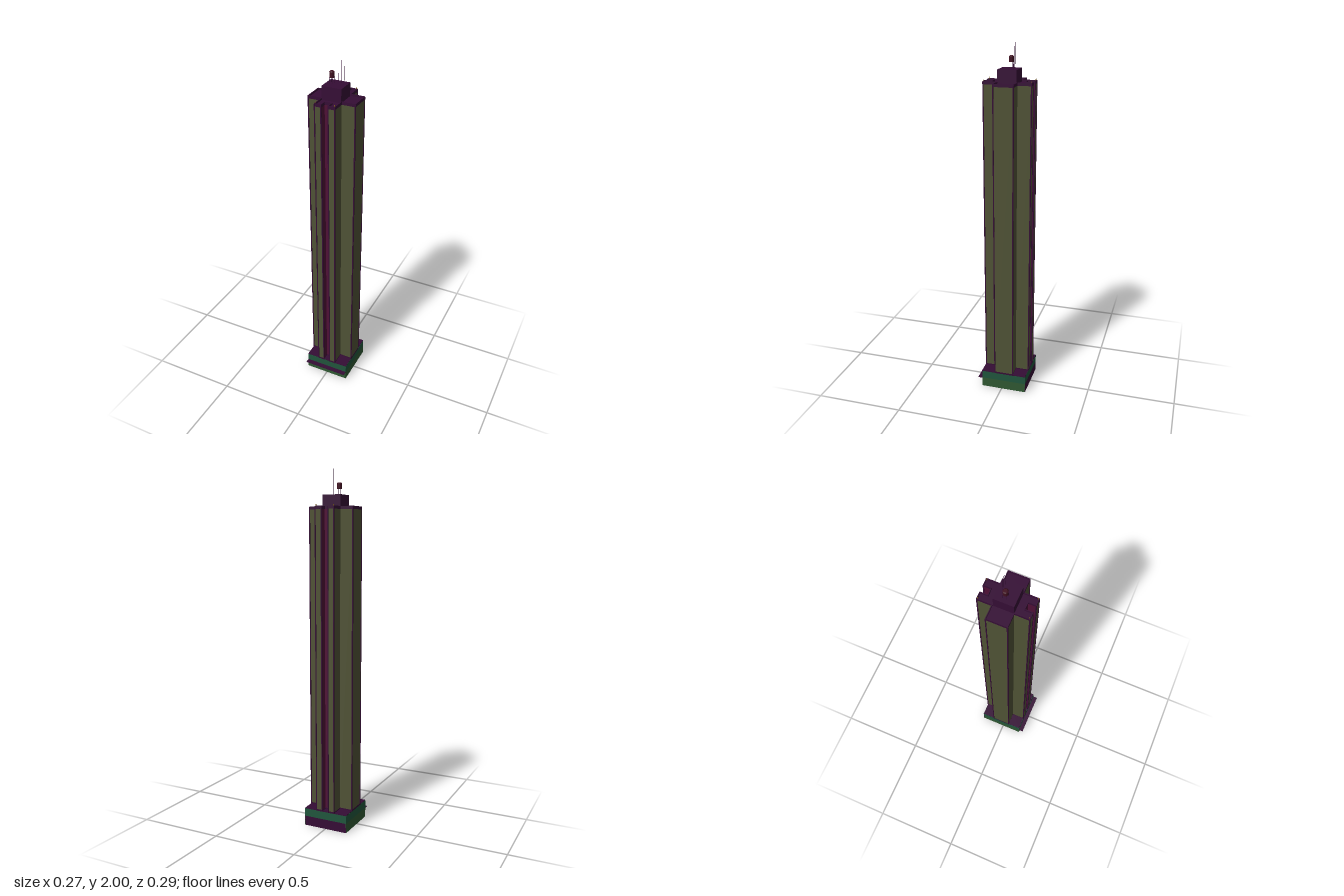
import * as THREE from 'three';

const material = (color) => new THREE.MeshStandardMaterial({ color, flatShading: true, side: THREE.DoubleSide });
const olive = material(0x4f5235);
const purple = material(0x350d35);
const red = material(0x4f1036);
const teal = material(0x20553c);
const green = material(0x2f5732);
const brown = material(0x401020);
const amber = material(0x806020);

// Tower plan: a cross whose front and back arms are notched
const X = 0.13, ARM = 0.055, NOTCH = 0.02;
const FRONT = 0.118, BACK = -0.143, Z1 = 0.041, Z0 = -0.067;
const half = [[NOTCH, FRONT - 0.04], [NOTCH, FRONT], [ARM, FRONT], [ARM, Z1], [X, Z1],
  [X, Z0], [ARM, Z0], [ARM, BACK], [NOTCH, BACK], [NOTCH, BACK + 0.04]];
const plan = [...half, ...half.map(([x, z]) => [-x, z]).reverse()];

export function createModel() {
  const model = new THREE.Group();

  const add = (name, geometry, mat, x, y, z) => {
    const mesh = new THREE.Mesh(geometry, mat);
    mesh.name = name;
    mesh.position.set(x, y, z);
    model.add(mesh);
    return mesh;
  };
  // Box from its bounds
  const box = (name, mat, x0, x1, y0, y1, z0, z1) =>
    add(name, new THREE.BoxGeometry(x1 - x0, y1 - y0, z1 - z0), mat,
      (x0 + x1) / 2, (y0 + y1) / 2, (z0 + z1) / 2);
  // Thin upright slab along one axis-aligned edge of a plan
  const wall = (name, mat, [ax, az], [bx, bz], y0, y1, t) =>
    box(name, mat, Math.min(ax, bx) - t, Math.max(ax, bx) + t, y0, y1,
      Math.min(az, bz) - t, Math.max(az, bz) + t);

  // Podium: two bands of walls, open underneath
  const corners = [[-X, FRONT], [X, FRONT], [X, BACK], [-X, BACK]];
  corners.forEach((a, i) => {
    const b = corners[(i + 1) % 4];
    wall('podiumLowerWall', i === 2 ? purple : green, a, b, 0, 0.055, 0.001);
    wall('podiumUpperWall', teal, a, b, 0.055, 0.1, 0.001);
  });
  box('podiumRoof', purple, -X, X, 0.098, 0.104, BACK, FRONT);
  box('entranceCanopy', purple, -X, X, 0.052, 0.056, FRONT, 0.145);

  // Tower walls, with red linings in the notches and trims at foot and top
  plan.forEach((a, i) => {
    const b = plan[(i + 1) % plan.length];
    const inNotch = Math.abs(a[0]) === NOTCH && Math.abs(b[0]) === NOTCH;
    wall(inNotch ? 'notchWall' : 'towerWall', inNotch ? red : olive, a, b, 0.1, 1.79, 0.001);
    wall('baseTrim', purple, a, b, 0.1, 0.11, 0.002);
    wall('parapet', purple, a, b, 1.787, 1.803, 0.002);
  });

  // Upright trims on the outer corners
  for (const [x, z] of plan) {
    if (Math.abs(x) === ARM && (z === Z0 || z === Z1)) continue;
    if (z === FRONT - 0.04 || z === BACK + 0.04) continue;
    box('cornerTrim', purple, x - 0.003, x + 0.003, 0.1, 1.8, z - 0.003, z + 0.003);
  }

  // Flat roof in the shape of the plan
  const shape = new THREE.Shape(plan.map(([x, z]) => new THREE.Vector2(x, -z)));
  const roof = new THREE.ExtrudeGeometry(shape, { depth: 0.006, bevelEnabled: false });
  roof.rotateX(-Math.PI / 2);
  add('roof', roof, purple, 0, 1.787, 0);

  // Rooftop plant room and corner beacons
  box('plantRoom', purple, -ARM, 0.053, 1.79, 1.865, Z0 + 0.004, Z1);
  for (const x of [-0.052, 0.052]) for (const z of [FRONT - 0.003, BACK + 0.003]) {
    add('beacon', new THREE.CylinderGeometry(0.002, 0.002, 0.022, 6), amber, x, 1.8, z);
  }

  // Water tank on four legs
  const tx = -0.024, tz = -0.013;
  add('waterTank', new THREE.CylinderGeometry(0.013, 0.013, 0.028, 12), brown, tx, 1.91, tz);
  add('tankLid', new THREE.CylinderGeometry(0.009, 0.014, 0.005, 12), brown, tx, 1.9265, tz);
  for (const dx of [-0.01, 0.01]) for (const dz of [-0.01, 0.01]) {
    add('tankLeg', new THREE.CylinderGeometry(0.001, 0.001, 0.035, 5), purple, tx + dx, 1.88, tz + dz);
  }

  // Row of thin masts
  [[0.001, 2], [0.017, 1.98], [0.032, 1.953]].forEach(([x, top]) => {
    add('mast', new THREE.CylinderGeometry(0.001, 0.001, top - 1.86, 5), purple, x, (top + 1.86) / 2, -0.04);
  });

  return model;
}
